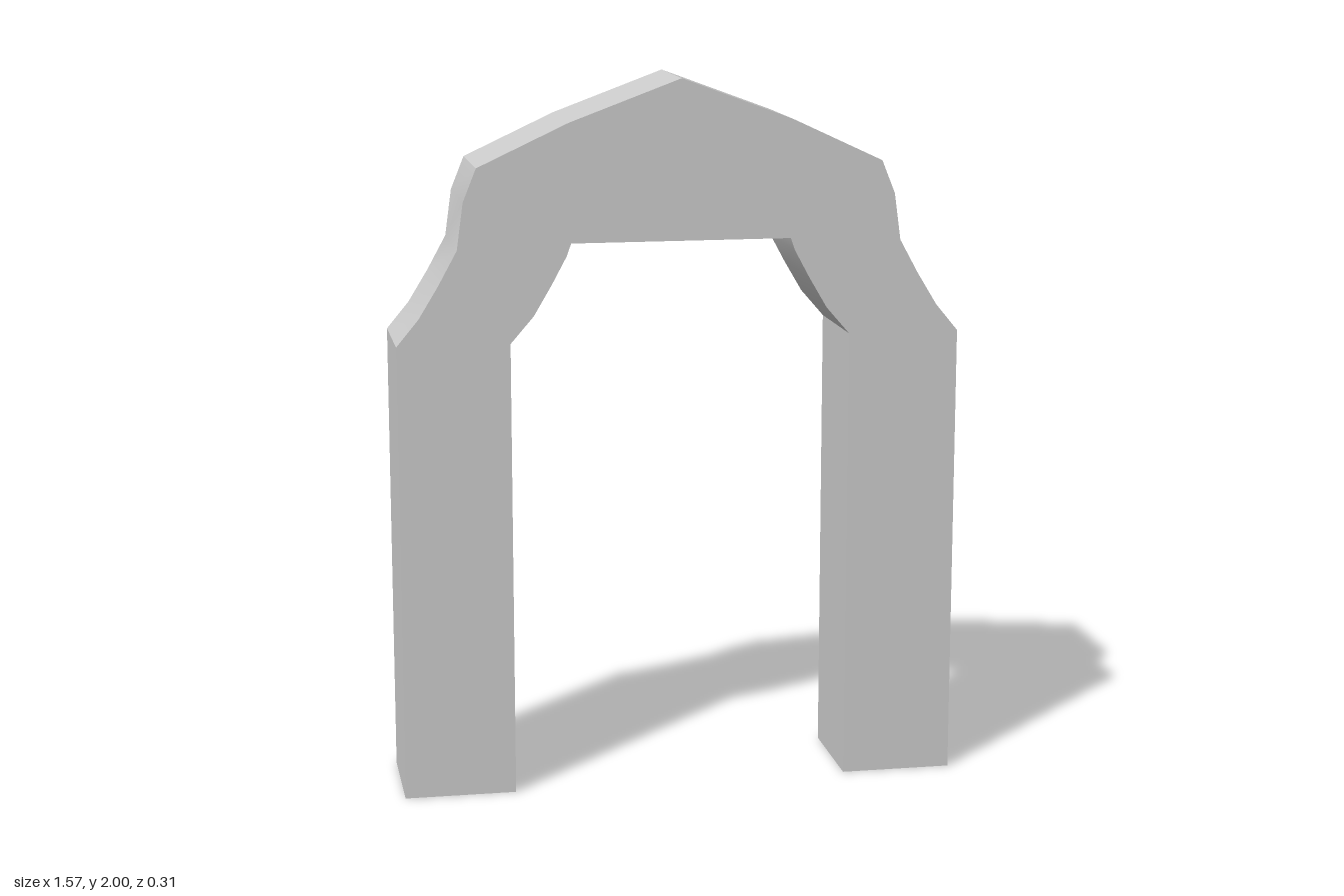
import * as THREE from 'three';
import { toCreasedNormals } from 'three/addons/utils/BufferGeometryUtils.js';

const HALF = 0.157;     // half depth of the whole arch
const INNER = 0.475;    // inner face of each leg
const OUTER = 0.787;    // outer face of each leg
const LEG_TOP = 1.285;
const RIB = 1.17;       // height of the rib between the two back panels

const material = new THREE.MeshStandardMaterial({ color: 0xcccccc });

// Flat-shaded geometry from a list of quads, corners counter-clockwise
function quadGeometry(quads) {
  const points = quads.flatMap(([a, b, c, d]) => [a, b, c, a, c, d]);
  const geometry = new THREE.BufferGeometry();
  geometry.setAttribute('position', new THREE.Float32BufferAttribute(points.flat(), 3));
  geometry.computeVertexNormals();
  return geometry;
}

// Sunken panel on the back: four bevels that lead to a flat floor
function sunkenPanel(x0, x1, y0, y1, lowBevel, highBevel) {
  const side = 0.029, depth = 0.036;
  const ring = (l, r, b, t, z) => [[r, b, z], [l, b, z], [l, t, z], [r, t, z]];
  const rim = ring(x0, x1, y0, y1, -HALF);
  const floor = ring(x0 + side, x1 - side, y0 + lowBevel, y1 - highBevel, -HALF + depth);
  const bevels = rim.map((p, i) => [p, rim[(i + 1) % 4], floor[(i + 1) % 4], floor[i]]);
  return [...bevels, floor];
}

function makeLeg(name, x0, x1) {
  const f = HALF, b = -HALF, h = LEG_TOP;
  const leg = new THREE.Group();
  leg.name = name;

  const post = new THREE.Mesh(quadGeometry([
    [[x0, 0, f], [x1, 0, f], [x1, h, f], [x0, h, f]],   // front
    [[x1, 0, f], [x1, 0, b], [x1, h, b], [x1, h, f]],   // +x side
    [[x0, 0, b], [x0, 0, f], [x0, h, f], [x0, h, b]],   // -x side
    [[x0, 0, b], [x1, 0, b], [x1, 0, f], [x0, 0, f]],   // foot
  ]), material);
  post.name = 'post';

  const lower = new THREE.Mesh(quadGeometry(sunkenPanel(x0, x1, 0, RIB, 0.055, 0.04)), material);
  lower.name = 'lowerBackPanel';
  const upper = new THREE.Mesh(quadGeometry(sunkenPanel(x0, x1, RIB, h, 0.025, 0.02)), material);
  upper.name = 'upperBackPanel';

  leg.add(post, lower, upper);
  return leg;
}

// Curved shoulders and peaked top in one extruded outline
function makeArch() {
  const outside = [
    [OUTER, LEG_TOP], [0.725, 1.36], [0.67, 1.45], [0.618, 1.545],
    [0.6, 1.675], [0.563, 1.767], [0.31, 1.885],
  ];
  const inside = [
    [0.306, 1.557], [0.318, 1.523], [0.36, 1.445], [0.41, 1.36], [INNER, LEG_TOP],
  ];
  const mirror = (points) => points.map(([x, y]) => [-x, y]).reverse();
  const outline = [...outside, [0, 2], ...mirror(outside), ...mirror(inside), ...inside];
  const shape = new THREE.Shape(outline.map(([x, y]) => new THREE.Vector2(x, y)));
  const geometry = new THREE.ExtrudeGeometry(shape, { depth: 2 * HALF, bevelEnabled: false });
  geometry.translate(0, 0, -HALF);
  const arch = new THREE.Mesh(toCreasedNormals(geometry, Math.PI / 6), material);
  arch.name = 'archTop';
  return arch;
}

export function createModel() {
  const model = new THREE.Group();
  model.name = 'archway';
  model.add(
    makeLeg('leftLeg', INNER, OUTER),
    makeLeg('rightLeg', -OUTER, -INNER),
    makeArch(),
  );
  return model;
}
